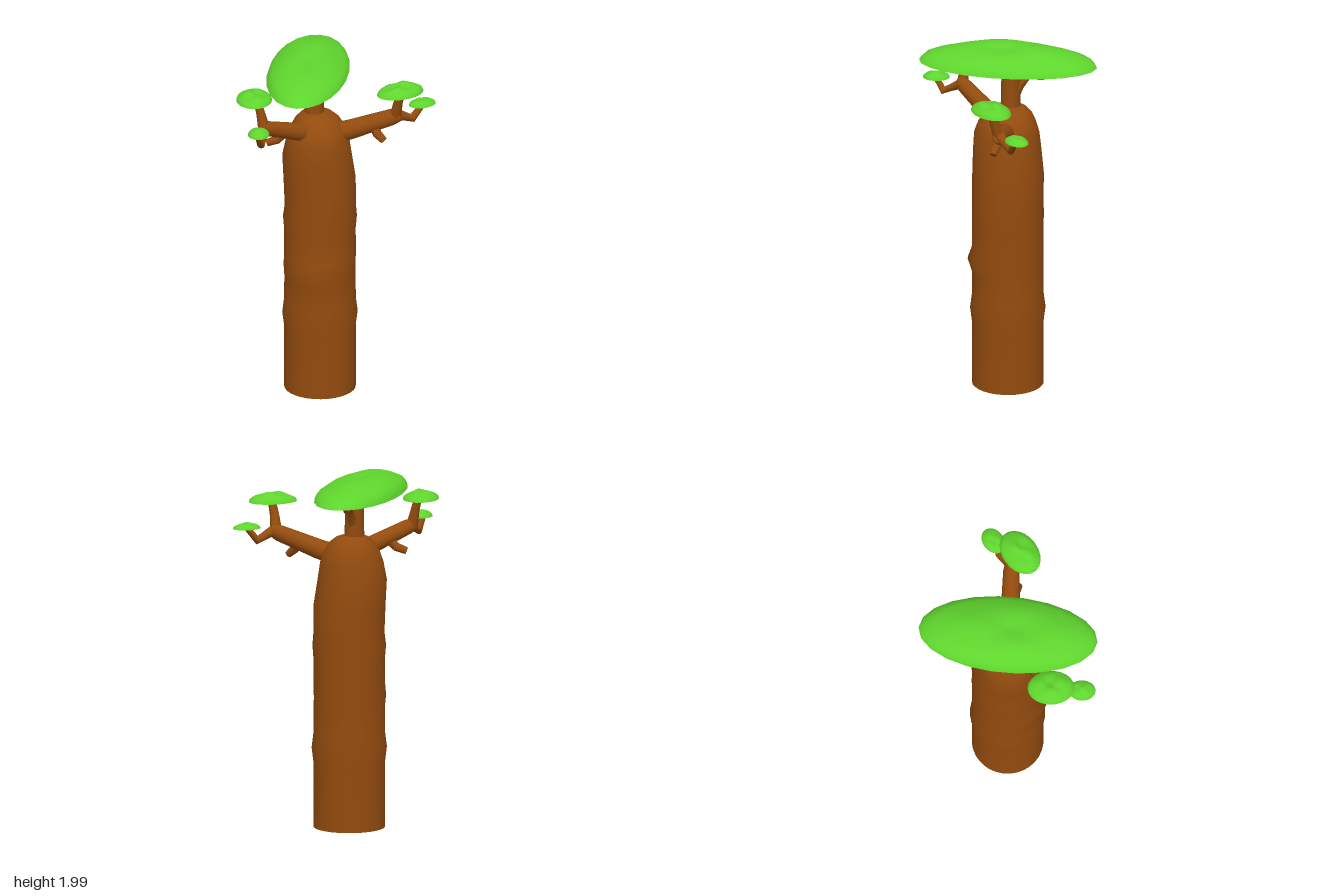
import * as THREE from 'three';

const V = (p) => new THREE.Vector3(...p);

// Skins a stack of rings (each turning right-handed about the direction of travel) and caps both ends.
function loft(rings) {
  const n = rings[0].length;
  const pts = rings.flat();
  const index = [];
  for (let i = 0; i < rings.length - 1; i++) {
    for (let j = 0; j < n; j++) {
      const a = i * n + j, b = i * n + (j + 1) % n;
      index.push(a, b, b + n, a, b + n, a + n);
    }
  }
  // separate cap vertices keep the rim sharp
  const cap = (ring, flip) => {
    const s = pts.length;
    pts.push(...ring);
    for (let j = 1; j < n - 1; j++) index.push(s, s + (flip ? j + 1 : j), s + (flip ? j : j + 1));
  };
  cap(rings[0], true);
  cap(rings[rings.length - 1], false);
  const g = new THREE.BufferGeometry().setFromPoints(pts);
  g.setIndex(index);
  g.computeVertexNormals();
  return g;
}

// Horizontal elliptical ring
function ring(n, y, cx, cz, rx, rz) {
  return Array.from({ length: n }, (_, j) => {
    const t = (j / n) * Math.PI * 2;
    return new THREE.Vector3(cx + rx * Math.sin(t), y, cz + rz * Math.cos(t));
  });
}

// Tapered limb through points, each [x, y, z, radius]
function limb(path, n = 14) {
  const p = path.map(V);
  return loft(p.map((c, i) => {
    const dir = (a, b) => p[b].clone().sub(p[a]).normalize();
    const t = new THREE.Vector3();
    if (i > 0) t.add(dir(i - 1, i));
    if (i < p.length - 1) t.add(dir(i, i + 1));
    t.normalize();
    // fixed reference direction, so rings do not twist
    const u = new THREE.Vector3(0.31, 0.12, 0.94).cross(t).normalize();
    const w = t.clone().cross(u);
    return Array.from({ length: n }, (_, j) => {
      const a = (j / n) * Math.PI * 2;
      return c.clone().addScaledVector(u, Math.cos(a) * path[i][3]).addScaledVector(w, Math.sin(a) * path[i][3]);
    });
  }));
}

// Flat-bottomed leaf cap with a lumpy top
function leafCap(rx, rz, h, lean, lump, seed) {
  const profile = [[1, 0], [0.95, 0.27], [0.85, 0.43], [0.7, 0.62], [0.52, 0.78], [0.32, 0.86], [0.15, 0.86], [0.01, 0.86]];
  return loft(profile.map(([s, y]) => ring(22, y * h, 0, 0, rx * s, rz * s).map((v) => {
    const a = v.x / rx, b = v.z / rz;
    const wave = Math.sin(a * 5 + seed) * Math.cos(b * 6 + seed * 2);
    v.y *= 1 - lean * a + lump * wave * (1 - s * s);
    return v;
  })));
}

export function createModel() {
  const tree = new THREE.Group();
  tree.name = 'tree';
  const bark = new THREE.MeshStandardMaterial({ color: 0x934b0e });
  bark.name = 'bark brown';
  const leaf = new THREE.MeshStandardMaterial({ color: 0x5fd52d });
  leaf.name = 'leaf green';
  const add = (name, geometry, material) => {
    const mesh = new THREE.Mesh(geometry, material);
    mesh.name = name;
    tree.add(mesh);
    return mesh;
  };

  // Trunk: [y, centre x, centre z, radius x, radius z]
  const trunk = [
    [0, -0.1, -0.02, 0.2, 0.2], [0.37, -0.1, -0.02, 0.2, 0.2], [0.45, -0.1, -0.02, 0.21, 0.21],
    [0.53, -0.1, -0.02, 0.2, 0.2], [0.67, -0.1, -0.02, 0.198, 0.2], [0.74, -0.1, -0.008, 0.2, 0.212],
    [0.81, -0.1, -0.02, 0.2, 0.2], [0.95, -0.1, -0.02, 0.199, 0.2], [1.03, -0.1, -0.02, 0.206, 0.2],
    [1.1, -0.098, -0.02, 0.198, 0.2], [1.26, -0.102, -0.021, 0.201, 0.199], [1.4, -0.115, -0.014, 0.194, 0.19],
    [1.5, -0.112, -0.012, 0.176, 0.182], [1.56, -0.112, -0.015, 0.157, 0.162], [1.61, -0.115, -0.02, 0.128, 0.135],
    [1.64, -0.12, -0.025, 0.095, 0.1], [1.655, -0.125, -0.028, 0.06, 0.062], [1.66, -0.13, -0.03, 0.02, 0.02],
  ];
  add('trunk', loft(trunk.map((r) => ring(32, ...r))), bark);

  // Limbs: [x, y, z, radius] along each path
  const limbs = {
    crownStem: [[-0.133, 1.6, -0.03, 0.056], [-0.135, 1.78, -0.03, 0.053], [-0.135, 1.9, -0.035, 0.053]],
    crownTwig: [[-0.135, 1.7, -0.05, 0.026], [-0.135, 1.77, -0.08, 0.024], [-0.14, 1.83, -0.13, 0.016],
      [-0.145, 1.825, -0.21, 0.013], [-0.15, 1.9, -0.29, 0.01]],
    leftBranch: [[-0.06, 1.525, -0.015, 0.058], [0.07, 1.56, -0.025, 0.056], [0.3, 1.642, -0.047, 0.046], [0.35, 1.662, -0.05, 0.036]],
    leftUpperTwig: [[0.32, 1.64, -0.045, 0.034], [0.34, 1.74, -0.02, 0.026], [0.365, 1.83, 0, 0.022]],
    leftOuterTwig: [[0.33, 1.66, -0.05, 0.03], [0.405, 1.61, -0.125, 0.024], [0.46, 1.69, -0.16, 0.017]],
    leftStub: [[0.2, 1.59, -0.03, 0.028], [0.225, 1.55, -0.01, 0.026], [0.265, 1.515, 0, 0.02]],
    rightBranch: [[-0.13, 1.535, 0.03, 0.052], [-0.2, 1.585, 0.11, 0.05], [-0.345, 1.66, 0.265, 0.042], [-0.375, 1.675, 0.295, 0.034]],
    rightUpperTwig: [[-0.365, 1.66, 0.28, 0.034], [-0.385, 1.75, 0.275, 0.025], [-0.41, 1.84, 0.265, 0.021]],
    rightOuterTwig: [[-0.36, 1.67, 0.28, 0.03], [-0.365, 1.617, 0.39, 0.023], [-0.38, 1.7, 0.44, 0.016]],
    rightStub: [[-0.26, 1.61, 0.17, 0.027], [-0.31, 1.56, 0.18, 0.025], [-0.365, 1.54, 0.19, 0.02]],
  };
  for (const [name, path] of Object.entries(limbs)) add(name, limb(path), bark);

  // Leaf caps: name, position, half sizes x and z, height, turn, lean, lumpiness, seed
  const caps = [
    ['crownLeaves', [-0.165, 1.89, -0.01], 0.226, 0.5, 0.11, 0.03, 0.13, 0.1, 1.2],
    ['leftUpperLeaves', [0.355, 1.812, -0.004], 0.14, 0.1, 0.052, 0.72, -0.1, 0.3, 0.5],
    ['leftOuterLeaves', [0.453, 1.682, -0.165], 0.08, 0.06, 0.032, 0.72, 0, 0.2, 2.1],
    ['rightUpperLeaves', [-0.425, 1.828, 0.262], 0.1, 0.131, 0.046, 0.15, 0.05, 0.25, 3.3],
    ['rightOuterLeaves', [-0.372, 1.692, 0.43], 0.06, 0.075, 0.036, 0.1, 0, 0.2, 4.6],
  ];
  for (const [name, pos, rx, rz, h, turn, lean, lump, seed] of caps) {
    const mesh = add(name, leafCap(rx, rz, h, lean, lump, seed), leaf);
    mesh.position.set(...pos);
    mesh.rotation.y = turn;
  }
  return tree;
}
